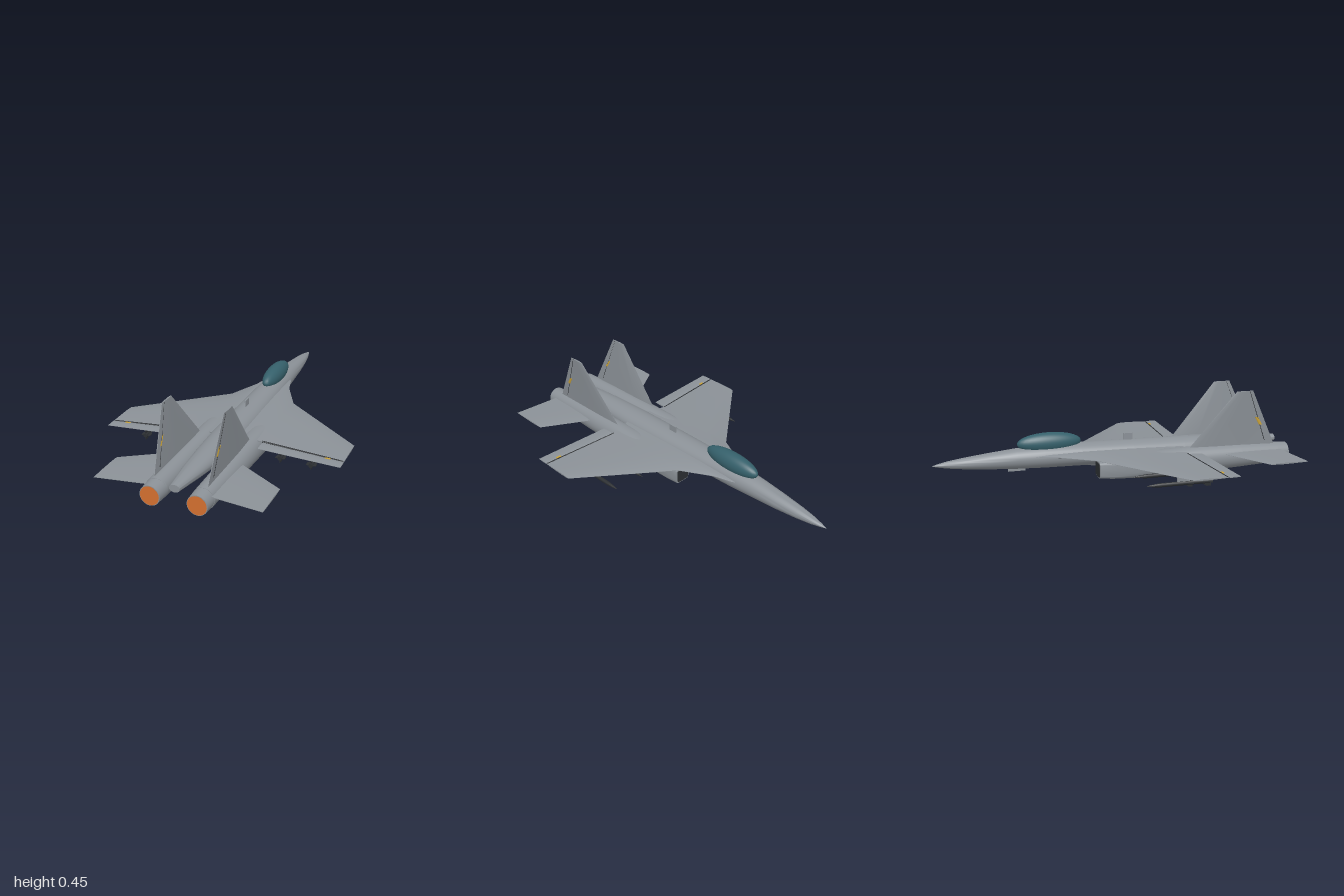
import * as THREE from 'three';
import { toCreasedNormals } from 'three/addons/utils/BufferGeometryUtils.js';

const material = (name, color) => {
  const m = new THREE.MeshStandardMaterial({ color });
  m.name = name;
  return m;
};

// Skin a list of equal-length rings, close both ends, and face it outwards
function loft(rings, crease = 0.6) {
  const n = rings[0].length, pos = [];
  const tri = (a, b, c) => pos.push(...a, ...b, ...c);
  for (let i = 0; i < rings.length - 1; i++) {
    for (let j = 0; j < n; j++) {
      const k = (j + 1) % n, p = rings[i], q = rings[i + 1];
      tri(p[j], p[k], q[k]);
      tri(p[j], q[k], q[j]);
    }
  }
  const first = rings[0], last = rings[rings.length - 1];
  for (let j = 1; j < n - 1; j++) {
    tri(first[0], first[j + 1], first[j]);
    tri(last[0], last[j], last[j + 1]);
  }
  let volume = 0;
  const a = new THREE.Vector3(), b = new THREE.Vector3(), c = new THREE.Vector3();
  for (let i = 0; i < pos.length; i += 9) {
    a.fromArray(pos, i); b.fromArray(pos, i + 3); c.fromArray(pos, i + 6);
    volume += a.dot(b.cross(c));
  }
  if (volume < 0) {
    for (let i = 0; i < pos.length; i += 9) {
      for (let k = 3; k < 6; k++) [pos[i + k], pos[i + k + 3]] = [pos[i + k + 3], pos[i + k]];
    }
  }
  const g = new THREE.BufferGeometry();
  g.setAttribute('position', new THREE.Float32BufferAttribute(pos, 3));
  return toCreasedNormals(g, crease);
}

// Rounded cross-section; a higher power gives a squarer outline
function ring(z, cx, cy, hw, hh, power = 2, n = 32) {
  return Array.from({ length: n }, (_, i) => {
    const t = (i / n) * Math.PI * 2, c = Math.cos(t), s = Math.sin(t);
    return [cx + hw * Math.sign(c) * Math.abs(c) ** (2 / power),
      cy + hh * Math.sign(s) * Math.abs(s) ** (2 / power), z];
  });
}

// Wing-like panel from [x, y, zLead, zTrail, thickness] sections
const FOIL = [[0, 0.08], [0.08, 0.6], [0.3, 1], [0.6, 0.85], [1, 0.25]];
function panel(side, sections, upright = false) {
  return loft(sections.map(([x, y, z0, z1, t]) => {
    const point = ([f, h], sign) => {
      const d = sign * h * t / 2;
      return [side * (x + (upright ? d : 0)), y + (upright ? 0 : d), z0 + (z1 - z0) * f];
    };
    return [...FOIL.map(p => point(p, 1)), ...[...FOIL].reverse().map(p => point(p, -1))];
  }), 0.5);
}

export function createModel() {
  const model = new THREE.Group();
  model.name = 'jetAircraft';
  const grey = material('bodyGrey', 0x8b9197);
  const glass = material('canopyTeal', 0x35606b);
  const orange = material('exhaustOrange', 0xd4702f);
  const dark = material('darkGrey', 0x2c2f32);
  const yellow = material('markingYellow', 0xc9a23a);

  const add = (name, geometry, mat, x = 0, y = 0, z = 0, parent = model) => {
    const m = new THREE.Mesh(geometry, mat);
    m.name = name;
    m.position.set(x, y, z);
    parent.add(m);
    return m;
  };

  // Fuselage: [z, centre y, half width, half height]
  add('fuselage', loft([
    [-1, 0.118, 0.001, 0.001], [-0.97, 0.119, 0.01, 0.009], [-0.92, 0.12, 0.022, 0.019],
    [-0.83, 0.121, 0.036, 0.031], [-0.7, 0.123, 0.049, 0.044], [-0.55, 0.126, 0.059, 0.056],
    [-0.4, 0.127, 0.07, 0.062], [-0.2, 0.126, 0.078, 0.064], [0.1, 0.122, 0.083, 0.064],
    [0.4, 0.12, 0.083, 0.061], [0.6, 0.122, 0.073, 0.054], [0.8, 0.13, 0.053, 0.038],
    [0.98, 0.135, 0.028, 0.02],
  ].map(([z, y, w, h]) => ring(z, 0, y, w, h))), grey);

  // Canopy
  const canopy = new THREE.SphereGeometry(1, 32, 20);
  canopy.scale(0.05, 0.056, 0.178);
  add('canopy', canopy, glass, 0, 0.203, -0.367);

  // Antennas above and below
  add('spineAntenna', new THREE.BoxGeometry(0.006, 0.05, 0.05), grey, 0, 0.198, 0.085);
  add('noseAntenna', new THREE.BoxGeometry(0.006, 0.02, 0.095), grey, 0, 0.066, -0.55);

  for (const side of [1, -1]) {
    const label = side > 0 ? 'left' : 'right';
    const part = new THREE.Group();
    part.name = label + 'Side';
    model.add(part);
    const put = (name, geometry, mat, x = 0, y = 0, z = 0) =>
      add(name, geometry, mat, x, y, z, part);

    // Engine nacelle, squarish at the intake and round at the nozzle
    put('nacelle', loft([
      [-0.13, 0.138, 0.068, 0.046, 0.044, 6], [-0.05, 0.135, 0.067, 0.052, 0.052, 5],
      [0.08, 0.131, 0.07, 0.06, 0.063, 3.5], [0.25, 0.129, 0.076, 0.065, 0.071, 2.5],
      [0.45, 0.128, 0.078, 0.066, 0.073, 2], [0.7, 0.127, 0.08, 0.063, 0.067, 2],
      [0.93, 0.124, 0.081, 0.057, 0.058, 2],
    ].map(([z, x, y, w, h, p]) => ring(z, side * x, y, w, h, p))), grey);
    put('intakeMouth', loft([
      ring(-0.133, side * 0.138, 0.068, 0.04, 0.038, 6),
      ring(-0.128, side * 0.138, 0.068, 0.04, 0.038, 6),
    ]), dark);

    // Nozzle and glowing exhaust
    const nozzle = new THREE.CylinderGeometry(0.053, 0.057, 0.08, 32);
    nozzle.rotateX(Math.PI / 2);
    put('nozzle', nozzle, grey, side * 0.123, 0.081, 0.958);
    put('exhaust', new THREE.CircleGeometry(0.05, 32), orange, side * 0.123, 0.081, 0.9995);

    // Wing with its forward root extension, hinge gap and flap
    put('wing', panel(side, [
      [0.04, 0.142, -0.5, 0.4, 0.026], [0.075, 0.141, -0.43, 0.39, 0.026],
      [0.1, 0.138, -0.33, 0.38, 0.028], [0.19, 0.13, -0.15, 0.37, 0.026],
      [0.65, 0.122, 0.22, 0.408, 0.008],
    ]), grey);
    put('flapGap', panel(side, [
      [0.2, 0.129, 0.362, 0.372, 0.014], [0.645, 0.122, 0.403, 0.413, 0.006],
    ]), dark);
    put('flap', panel(side, [
      [0.205, 0.128, 0.37, 0.447, 0.009], [0.65, 0.122, 0.411, 0.476, 0.005],
    ]), grey);
    put('wingMark', new THREE.BoxGeometry(0.03, 0.007, 0.012), yellow, side * 0.565, 0.123, 0.411);

    // Tailplane
    put('tailplane', panel(side, [
      [0.13, 0.107, 0.563, 0.938, 0.012], [0.19, 0.106, 0.6, 0.945, 0.012],
      [0.438, 0.103, 0.75, 0.974, 0.008],
    ]), grey);

    // Tail fin with rudder seam and marking
    put('tailFin', panel(side, [
      [0.139, 0.12, 0.375, 0.92, 0.012], [0.141, 0.16, 0.41, 0.903, 0.012],
      [0.161, 0.455, 0.668, 0.765, 0.009],
    ], true), grey);
    put('rudderSeam', panel(side, [
      [0.141, 0.16, 0.853, 0.858, 0.009], [0.161, 0.452, 0.745, 0.748, 0.008],
    ], true), dark);
    put('finMark', panel(side, [
      [0.1476, 0.255, 0.812, 0.834, 0.0095], [0.1508, 0.3, 0.785, 0.808, 0.0095],
    ], true), yellow);

    // Missiles hanging from wing pylons
    for (const [x, z] of [[0.3, 0.2], [0.472, 0.215]]) {
      put('pylon', new THREE.BoxGeometry(0.006, 0.062, 0.07), grey, side * x, 0.092, z + 0.02);
      const missile = new THREE.Group();
      missile.name = 'missile';
      missile.position.set(side * x, 0.056, z);
      part.add(missile);
      const body = new THREE.LatheGeometry([[0, -0.18], [0.011, -0.18], [0.011, 0.11],
        [0.007, 0.15], [0, 0.185]].map(p => new THREE.Vector2(...p)), 12);
      body.rotateX(-Math.PI / 2);
      add('missileBody', toCreasedNormals(body, 0.6), dark, 0, 0, 0, missile);
      // Swept fins near the tail and small ones midway
      for (const [start, span, chord] of [[0.11, 0.026, 0.065], [0.02, 0.022, 0.05]]) {
        const shape = new THREE.Shape([[0, start], [span, start + chord * 0.6],
          [span, start + chord], [0, start + chord]].map(p => new THREE.Vector2(...p)));
        for (let i = 0; i < 4; i++) {
          const fin = new THREE.ExtrudeGeometry(shape, { depth: 0.003, bevelEnabled: false });
          fin.translate(0, 0, -0.0015);
          fin.rotateX(Math.PI / 2);
          fin.rotateZ(i * Math.PI / 2);
          add('missileFin', fin, dark, 0, 0, 0, missile);
        }
      }
    }
  }
  return model;
}
